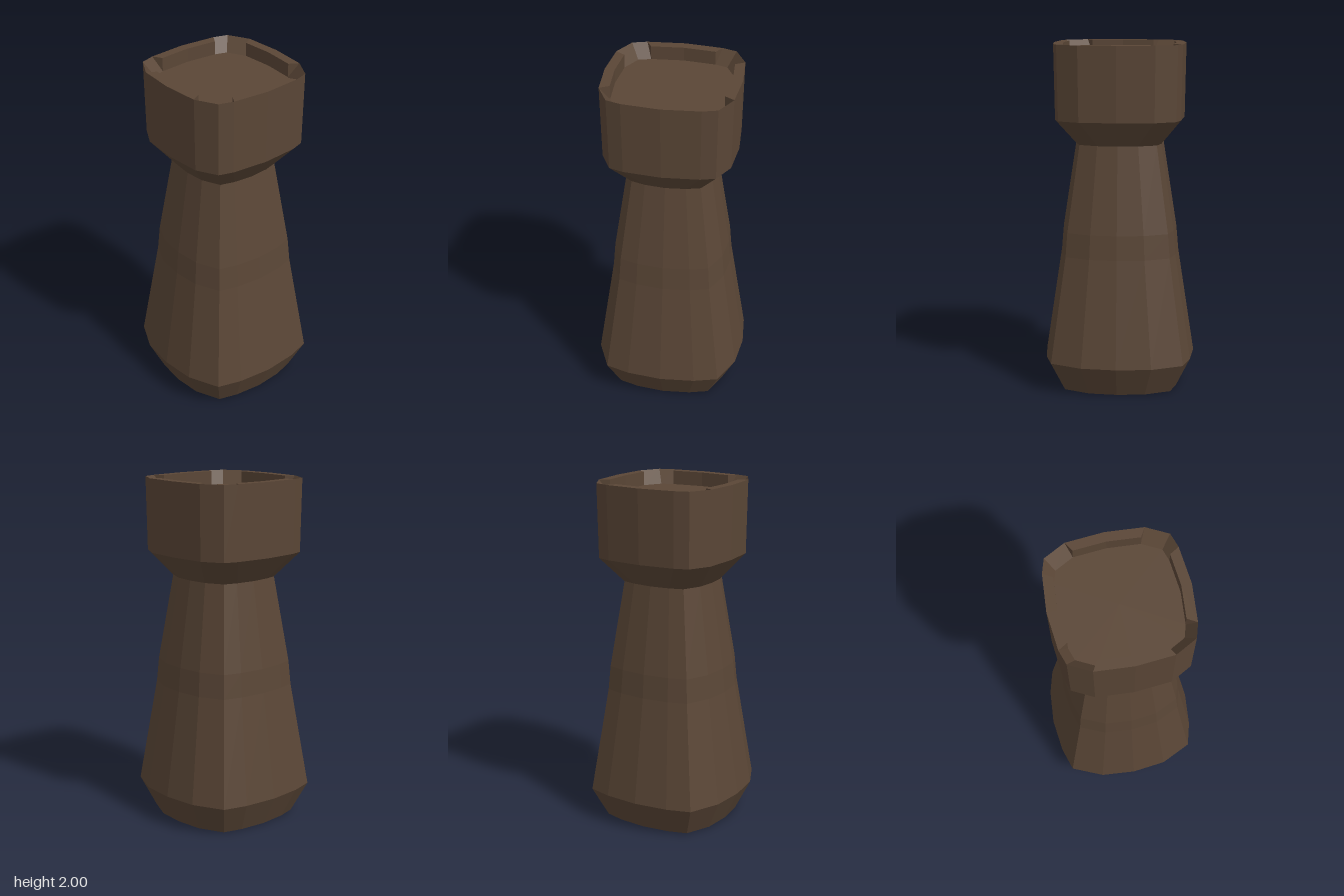
import * as THREE from 'three';

// One quadrant of each cross-section, from +z round to +x
const BODY = [[0, 1], [0.455, 0.955], [0.864, 0.768], [0.955, 0.455], [1, 0]];
const HEAD = [[0, 1], [0.562, 0.957], [0.882, 0.785], [0.95, 0.567], [1, 0]];

// Mirror a quadrant into a closed 16-point ring at height y
function ring(quadrant, r, y) {
  const q = quadrant.slice(0, 4);
  const back = quadrant.slice(1).reverse();
  const half = [...q, ...back.map(([x, z]) => [x, -z])];
  const full = [...half, ...half.map(([x, z]) => [-x, -z])];
  return full.map(([x, z]) => new THREE.Vector3(x * r, y, z * r));
}

function makeMesh(name, triangles, material) {
  const geometry = new THREE.BufferGeometry().setFromPoints(triangles);
  geometry.computeVertexNormals();
  const mesh = new THREE.Mesh(geometry, material);
  mesh.name = name;
  return mesh;
}

// Quad between two rings over segment k
function segment(out, lower, upper, k) {
  const n = (k + 1) % 16;
  out.push(lower[k], lower[n], upper[n], lower[k], upper[n], upper[k]);
}

function loft(rings) {
  const out = [];
  for (let i = 0; i < rings.length - 1; i++) {
    for (let k = 0; k < 16; k++) segment(out, rings[i], rings[i + 1], k);
  }
  return out;
}

function cap(loop, up) {
  const centre = new THREE.Vector3(0, loop[0].y, 0);
  return loop.flatMap((p, k) => {
    const next = loop[(k + 1) % 16];
    return up ? [centre, p, next] : [centre, next, p];
  });
}

export function createModel() {
  const group = new THREE.Group();
  group.name = 'towerPiece';
  const wood = new THREE.MeshStandardMaterial({ color: 0x5a4636 });
  wood.name = 'darkWood';

  // Tapered body with a slight band at mid height
  const bodyRings = [[0.355, 0], [0.44, 0.175], [0.345, 0.79], [0.333, 0.93], [0.255, 1.43]]
    .map(([r, y]) => ring(BODY, r, y));
  group.add(makeMesh('body', [...cap(bodyRings[0], false), ...loft(bodyRings)], wood));

  // Flared head
  const outer = ring(HEAD, 0.382, 2);
  const headRings = [bodyRings[4], ring(HEAD, 0.375, 1.575), outer];
  group.add(makeMesh('head', loft(headRings), wood));

  // Flat rim on the sides, sloping inwards at the corners
  const innerTop = ring(HEAD, 0.326, 2);
  const innerFloor = ring(HEAD, 0.326, 1.92);
  const rim = [];
  for (let k = 0; k < 16; k++) {
    if (k % 4 === 1 || k % 4 === 2) {
      segment(rim, outer, innerFloor, k);
    } else {
      segment(rim, outer, innerTop, k);
      segment(rim, innerTop, innerFloor, k);
    }
    // Ends of the flat rim blocks
    if (k % 4 === 1) rim.push(outer[k], innerFloor[k], innerTop[k]);
    if (k % 4 === 3) rim.push(outer[k], innerTop[k], innerFloor[k]);
  }
  group.add(makeMesh('rim', rim, wood));

  // Sunken top
  group.add(makeMesh('topFloor', cap(innerFloor, true), wood));
  return group;
}
